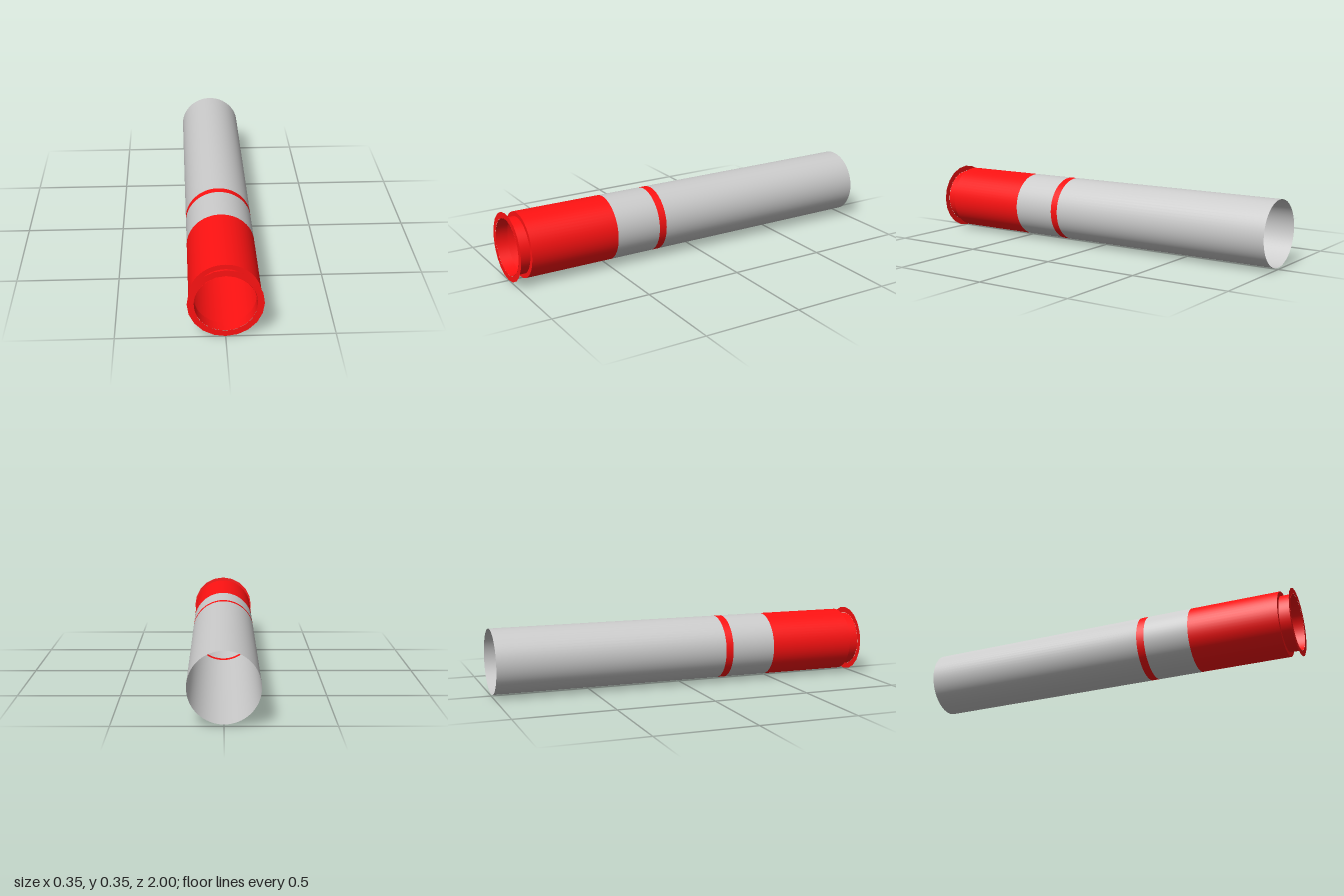
import * as THREE from 'three';

const AXIS_Y = 0.1735;
const BODY_R = 0.165;
const NECK_R = 0.142;

export function createModel() {
  const model = new THREE.Group();
  const grey = new THREE.MeshStandardMaterial({ color: 0xcccccc, side: THREE.DoubleSide });
  const red = new THREE.MeshStandardMaterial({ color: 0xff1212, side: THREE.DoubleSide });

  const add = (name, geometry, material, z) => {
    const mesh = new THREE.Mesh(geometry, material);
    mesh.name = name;
    mesh.position.set(0, AXIS_Y, z);
    model.add(mesh);
  };

  // Open tube section along z
  const tube = (name, radius, z0, z1, material) => {
    const geometry = new THREE.CylinderGeometry(radius, radius, z1 - z0, 64, 1, true);
    geometry.rotateX(Math.PI / 2);
    add(name, geometry, material, (z0 + z1) / 2);
  };

  // Main barrel with its coloured bands
  tube('rearTube', BODY_R, -1, 0.205, grey);
  tube('thinBand', BODY_R, 0.205, 0.245, red);
  tube('middleTube', BODY_R, 0.245, 0.48, grey);
  tube('frontSleeve', BODY_R, 0.48, 0.94, red);

  // Step down to the narrower neck
  add('neckShoulder', new THREE.RingGeometry(NECK_R, BODY_R, 64), red, 0.94);
  tube('neck', NECK_R, 0.94, 1, red);

  // Thin twenty-sided flange at the mouth
  add('mouthFlange', new THREE.RingGeometry(0.144, 0.1735, 20), red, 1);

  return model;
}
